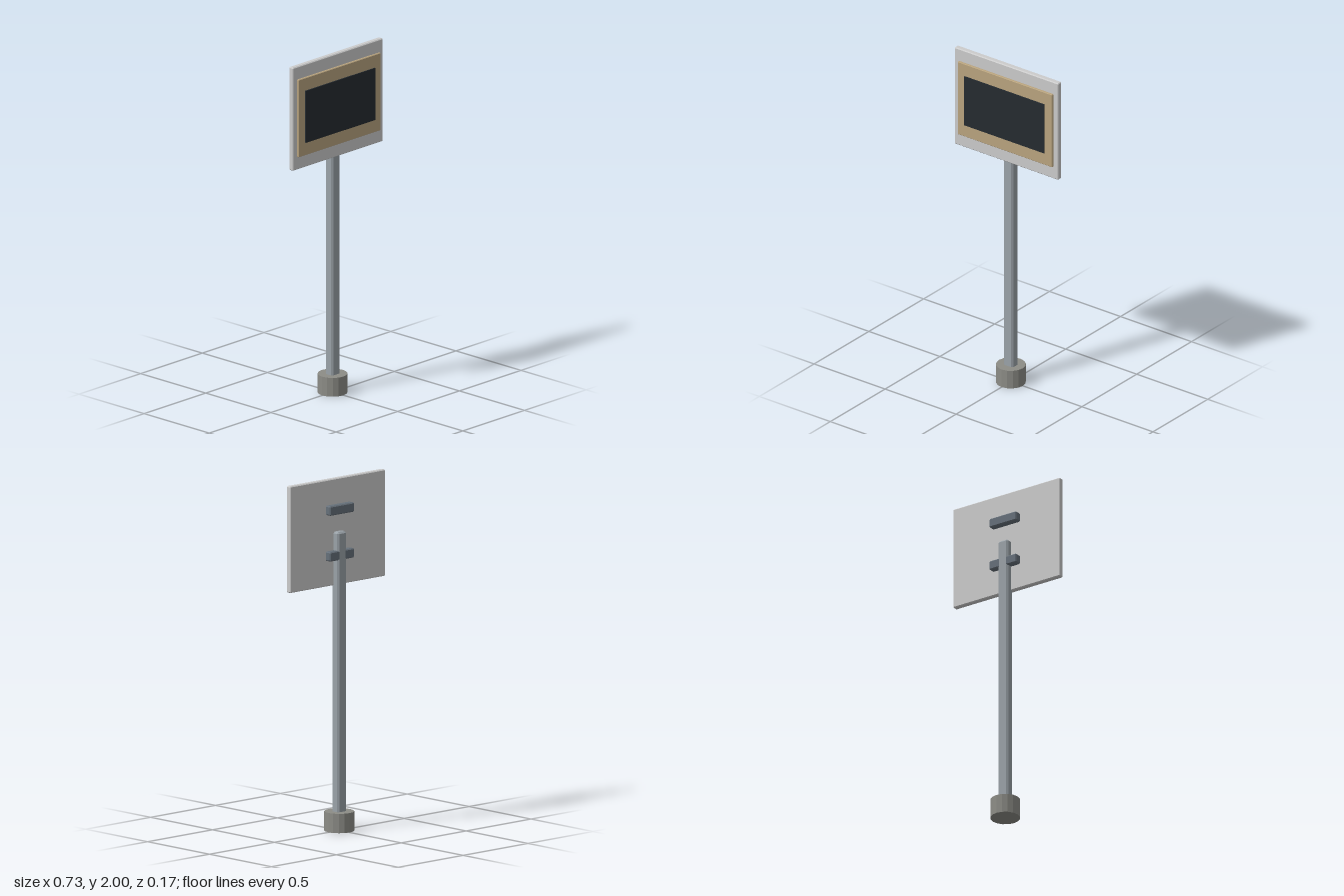
import * as THREE from 'three';
import { ConvexGeometry } from 'three/addons/geometries/ConvexGeometry.js';

// Box with every edge cut by a single flat chamfer c
function chamferBox(w, h, d, c) {
  const points = [];
  for (const x of [-1, 1]) for (const y of [-1, 1]) for (const z of [-1, 1]) {
    for (let axis = 0; axis < 3; axis++) {
      const inset = [c, c, c];
      inset[axis] = 0;
      points.push(new THREE.Vector3(
        x * (w / 2 - inset[0]), y * (h / 2 - inset[1]), z * (d / 2 - inset[2])));
    }
  }
  return new ConvexGeometry(points);
}

export function createModel() {
  const model = new THREE.Group();
  model.name = 'signPost';

  const add = (name, geometry, color, x, y, z) => {
    const material = new THREE.MeshStandardMaterial({ color, flatShading: true });
    const mesh = new THREE.Mesh(geometry, material);
    mesh.name = name;
    mesh.position.set(x, y, z);
    model.add(mesh);
  };

  // Footing and square post
  add('base', new THREE.CylinderGeometry(0.084, 0.084, 0.11, 16), 0x8c8c86, 0, 0.055, 0);
  add('post', chamferBox(0.068, 1.65, 0.056, 0.01), 0x9aa2a8, 0, 0.875, 0.001);

  // Layered sign: board, frame panel and dark face
  add('board', chamferBox(0.732, 0.605, 0.033, 0.005), 0xd4d6d2, 0, 1.6975, 0.0265);
  add('framePanel', chamferBox(0.666, 0.455, 0.02, 0.003), 0xb9a47f, 0, 1.6975, 0.046);
  add('darkFace', new THREE.BoxGeometry(0.562, 0.305, 0.01), 0x252b30, 0, 1.6975, 0.058);

  // Mounting brackets behind the board
  const brackets = [['upperBracket', 1.828], ['lowerBracket', 1.568]];
  for (const [name, y] of brackets) {
    add(name, chamferBox(0.186, 0.054, 0.042, 0.006), 0x66707a, 0, y, -0.005);
  }

  return model;
}
